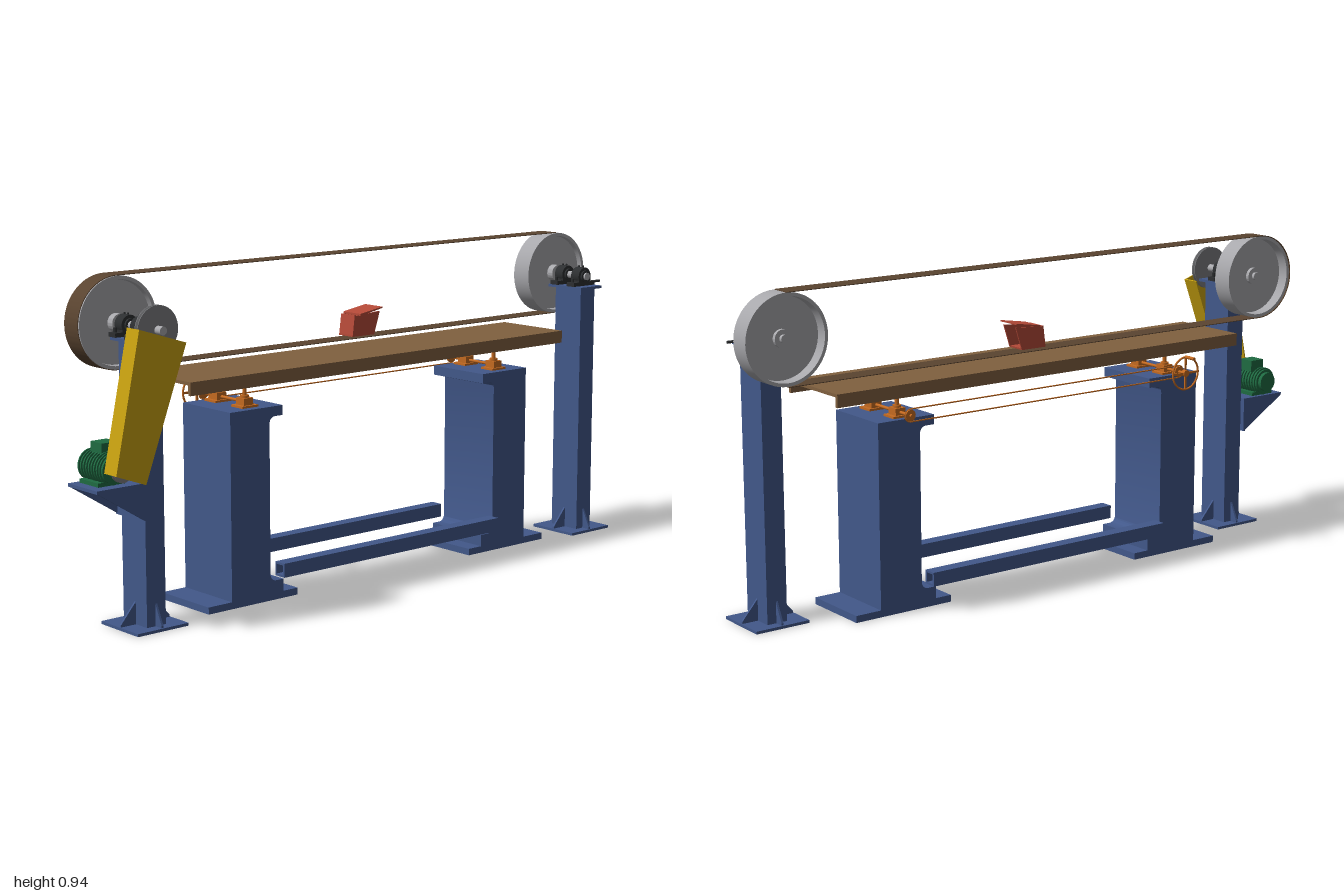
import * as THREE from 'three';
import { toCreasedNormals } from 'three/addons/utils/BufferGeometryUtils.js';

export function createModel() {
  const root = new THREE.Group();
  root.name = 'beltGrinder';
  const mat = (name, color) => {
    const m = new THREE.MeshStandardMaterial({ color, side: THREE.DoubleSide });
    m.name = name;
    return m;
  };
  const blue = mat('blue paint', 0x42588a), brown = mat('table brown', 0x80603f);
  const beltMat = mat('belt brown', 0x5a4430), orange = mat('orange', 0xc46a20);
  const yellow = mat('guard yellow', 0xc9a210), green = mat('motor green', 0x1f6b42);
  const black = mat('bearing black', 0x2d2f31), steel = mat('wheel grey', 0xa8a8ac);
  const dark = mat('pulley grey', 0x7c7d80), red = mat('shield red', 0xb54a38);

  // Helpers
  const add = (name, geo, m, parent = root) => {
    const mesh = new THREE.Mesh(geo, m);
    mesh.name = name;
    parent.add(mesh);
    return mesh;
  };
  const box = (name, m, x0, x1, y0, y1, z0, z1) =>
    add(name, new THREE.BoxGeometry(x1 - x0, y1 - y0, z1 - z0)
      .translate((x0 + x1) / 2, (y0 + y1) / 2, (z0 + z1) / 2), m);
  // Cylinder running along z
  const rod = (name, m, x, y, z0, z1, r, n = 24) =>
    add(name, new THREE.CylinderGeometry(r, r, z1 - z0, n).rotateX(Math.PI / 2)
      .translate(x, y, (z0 + z1) / 2), m);
  const extrude = (name, m, shape, z0, z1) =>
    add(name, toCreasedNormals(new THREE.ExtrudeGeometry(shape,
      { depth: z1 - z0, bevelEnabled: false, curveSegments: 32 }).translate(0, 0, z0), 0.5), m);
  const poly = (pts) => new THREE.Shape(pts.map(([x, y]) => new THREE.Vector2(x, y)));
  // Lathe about z; profile points are [radius, z]
  const spin = (name, m, x, y, pts) =>
    add(name, toCreasedNormals(new THREE.LatheGeometry(pts.map(([r, z]) => new THREE.Vector2(r, z)), 56)
      .rotateX(Math.PI / 2).translate(x, y, 0), 0.5), m);

  const AY = 0.808, LX = -0.81, RX = 0.87;

  // Belt wrapped round the drive wheel
  const belt = new THREE.Shape();
  belt.moveTo(RX, AY + 0.1275);
  belt.lineTo(LX, AY + 0.1275);
  belt.absarc(LX, AY, 0.1275, Math.PI / 2, Math.PI * 1.5, false);
  belt.lineTo(RX, AY - 0.1275);
  belt.lineTo(RX, AY - 0.1255);
  belt.lineTo(LX, AY - 0.1255);
  belt.absarc(LX, AY, 0.1255, Math.PI * 1.5, Math.PI / 2, true);
  belt.lineTo(RX, AY + 0.1255);
  extrude('belt', beltMat, belt, -0.081, -0.019);

  // Wheel, shaft, bearings and post at each end
  for (const [x, zc, zEnd] of [[LX, 0.08, 0.185], [RX, 0.067, 0.118]]) {
    spin('wheel', steel, x, AY, [[0, -0.056], [0.025, -0.056], [0.025, -0.045], [0.114, -0.045],
      [0.116, -0.077], [0.1255, -0.077], [0.1255, -0.015], [0.116, -0.015], [0.114, -0.03],
      [0.025, -0.03], [0.025, -0.008], [0, -0.008]]);
    rod('shaft', steel, x, AY, -0.066, zEnd, 0.0115);

    box('post', blue, x - 0.031, x + 0.031, 0.008, 0.77, zc - 0.053, zc + 0.053);
    box('postTopPlate', blue, x - 0.046, x + 0.046, 0.77, 0.778, zc - 0.07, zc + 0.068);
    box('postBasePlate', blue, x - 0.083, x + 0.083, 0, 0.008, zc - 0.084, zc + 0.084);
    for (let i = 0; i < 4; i++) {
      const inner = i % 2 ? 0.053 : 0.031;
      const g = new THREE.ExtrudeGeometry(poly([[inner, 0.008], [0.08, 0.008], [0.08, 0.014], [inner, 0.07]]),
        { depth: 0.006, bevelEnabled: false }).translate(0, 0, -0.003).rotateY(i * Math.PI / 2);
      add('postGusset', g, blue).position.set(x, 0, zc);
    }
    for (const z of [0.021, 0.09]) {
      box('bearingFoot', black, x - 0.047, x + 0.047, 0.778, 0.79, z - 0.015, z + 0.015);
      box('bearingBody', black, x - 0.024, x + 0.024, 0.788, AY, z - 0.016, z + 0.016);
      rod('bearingHousing', black, x, AY, z - 0.016, z + 0.016, 0.027);
      rod('bearingCollar', black, x, AY, z - 0.022, z + 0.022, 0.018);
      for (const s of [-1, 1]) {
        add('bearingBolt', new THREE.CylinderGeometry(0.005, 0.005, 0.014, 6)
          .translate(x + s * 0.037, 0.796, z), black);
        add('capBolt', new THREE.CylinderGeometry(0.003, 0.003, 0.014, 6)
          .translate(x, 0.833, z + s * 0.008), black);
      }
      // Tension screws
      if (x === RX) add('tensionScrew', new THREE.CylinderGeometry(0.004, 0.004, 0.05, 8)
        .rotateZ(Math.PI / 2).translate(x + 0.06, 0.786, z), black);
    }
  }

  // Drive pulleys
  const pulley = (name, x, y, r) => spin(name, dark, x, y, [[0, 0.147], [r, 0.147], [r, 0.149],
    [r - 0.01, 0.154], [r, 0.159], [r, 0.161], [0, 0.161]]);
  pulley('drivenPulley', LX, AY, 0.065);
  pulley('motorPulley', -0.928, 0.447, 0.028);

  // Guard: front cover with folded sides, open at the top and back
  const corners = [[-0.892, 0.82], [-0.972, 0.447], [-0.878, 0.412], [-0.742, 0.772]];
  extrude('guardCover', yellow, poly(corners), 0.188, 0.192);
  for (let i = 0; i < 3; i++) {
    const [a, b] = [corners[i], corners[i + 1]];
    const dx = b[0] - a[0], dy = b[1] - a[1], l = Math.hypot(dx, dy);
    const nx = -dy / l * 0.004, ny = dx / l * 0.004;
    extrude('guardSide', yellow, poly([a, b, [b[0] + nx, b[1] + ny], [a[0] + nx, a[1] + ny]]), 0.138, 0.19);
  }

  // Motor
  rod('motorBody', green, -0.93, 0.449, 0.012, 0.125, 0.038);
  rod('motorEndBell', green, -0.93, 0.449, 0, 0.012, 0.03);
  for (let i = 0; i < 9; i++) rod('coolingRib', green, -0.93, 0.449, 0.018 + i * 0.012, 0.022 + i * 0.012, 0.043);
  rod('motorShaft', steel, -0.93, 0.449, 0.125, 0.165, 0.008);
  box('motorFoot', green, -0.972, -0.888, 0.405, 0.416, 0.025, 0.11);
  box('terminalBox', green, -0.945, -0.895, 0.48, 0.515, 0.04, 0.09);

  // Motor bracket
  box('bracketShelf', blue, -1, -0.841, 0.396, 0.405, 0.012, 0.145);
  box('bracketBackPlate', blue, -0.849, -0.841, 0.3, 0.4, 0.012, 0.145);
  for (const z of [0.012, 0.138])
    extrude('bracketGusset', blue, poly([[-1, 0.398], [-0.843, 0.3], [-0.843, 0.398]]), z, z + 0.007);

  // Pedestals, mirrored; s points towards the middle
  for (const [x, s] of [[-0.54, 1], [0.605, -1]]) {
    const p = new THREE.Shape();
    const X = (d) => x + s * d;
    p.moveTo(X(0), 0.02);
    p.lineTo(X(0), 0.55);
    p.lineTo(X(0.184), 0.55);
    p.lineTo(X(0.184), 0.522);
    p.lineTo(X(0.155), 0.522);
    p.quadraticCurveTo(X(0.137), 0.52, X(0.137), 0.5);
    p.lineTo(X(0.137), 0.075);
    p.quadraticCurveTo(X(0.139), 0.058, X(0.155), 0.055);
    p.lineTo(X(0.184), 0.055);
    p.lineTo(X(0.184), 0.02);
    extrude('pedestal', blue, p, -0.097, 0.115);
    const xm = X(0.077);
    box('pedestalFoot', blue, xm - 0.158, xm + 0.158, 0, 0.02, -0.097, 0.115);
  }

  // Hollow tie beams
  for (const z of [-0.117, 0.134]) {
    const h = 0.02, w = 0.014;
    const s = poly([[-h, -h], [h, -h], [h, h], [-h, h]]);
    s.holes.push(poly([[-w, -w], [-w, w], [w, w], [w, -w]]));
    add('tieBeam', new THREE.ExtrudeGeometry(s, { depth: 0.84, bevelEnabled: false })
      .rotateY(Math.PI / 2), blue).position.set(-0.385, 0.09, z);
  }

  // Table: downward-facing channel
  box('tableTop', brown, -0.685, 0.745, 0.643, 0.652, -0.117, 0.131);
  box('tableBackSkirt', brown, -0.685, 0.745, 0.615, 0.645, -0.117, -0.107);
  box('tableFrontSkirt', brown, -0.685, 0.745, 0.615, 0.645, 0.121, 0.131);

  // Lifting gear under the table
  for (const x of [-0.45, 0.515]) {
    box('crossMember', orange, x - 0.035, x + 0.035, 0.614, 0.643, -0.107, 0.121);
    for (const z of [-0.055, 0.065]) {
      box('jackBase', orange, x - 0.028, x + 0.028, 0.55, 0.556, z - 0.025, z + 0.025);
      box('jackBody', orange, x - 0.016, x + 0.016, 0.556, 0.576, z - 0.018, z + 0.018);
      const upright = (name, r, y0, y1) => add(name, new THREE.CylinderGeometry(r, r, y1 - y0, 16)
        .translate(x, (y0 + y1) / 2, z), orange);
      upright('jackCollar', 0.012, 0.576, 0.583);
      upright('jackScrew', 0.006, 0.58, 0.614);
      upright('jackFlange', 0.02, 0.607, 0.614);
    }
    rod('crossShaft', orange, x, 0.564, x < 0 ? -0.155 : -0.13, 0.08, 0.0045, 12);
    rod('sprocket', orange, x, 0.564, -0.123, -0.117, 0.016);
    add('chainEnd', new THREE.TorusGeometry(0.018, 0.0015, 6, 16, Math.PI)
      .rotateZ(x < 0 ? Math.PI / 2 : -Math.PI / 2).translate(x, 0.564, -0.12), orange);
  }
  for (const y of [0.546, 0.582]) box('chainRun', orange, -0.45, 0.515, y - 0.0015, y + 0.0015, -0.122, -0.118);

  // Handwheel
  add('handwheelRim', new THREE.TorusGeometry(0.049, 0.003, 8, 40).translate(-0.45, 0.564, -0.151), orange);
  box('handwheelSpoke', orange, -0.453, -0.447, 0.516, 0.612, -0.153, -0.149);
  box('handwheelSpoke', orange, -0.498, -0.402, 0.561, 0.567, -0.153, -0.149);
  rod('handwheelHub', orange, -0.45, 0.564, -0.157, -0.143, 0.01);
  rod('handwheelGrip', orange, -0.45, 0.613, -0.19, -0.151, 0.005, 12);

  // Spark shield straddling the lower belt run, open towards +x
  const side = [[0.016, 0.688], [0.1, 0.688], [0.122, 0.755], [0.024, 0.748]];
  for (const z of [-0.075, -0.019]) extrude('shieldSide', red, poly(side), z, z + 0.004);
  extrude('shieldBack', red, poly([[0.016, 0.688], [0.021, 0.688], [0.029, 0.75], [0.024, 0.75]]), -0.075, -0.015);
  extrude('shieldFloor', red, poly([[0.016, 0.688], [0.1, 0.688], [0.101, 0.693], [0.016, 0.693]]), -0.075, -0.015);
  extrude('shieldLid', red, poly([[0.04, 0.748], [0.126, 0.764], [0.126, 0.768], [0.04, 0.754]]), -0.083, -0.008);

  return root;
}
